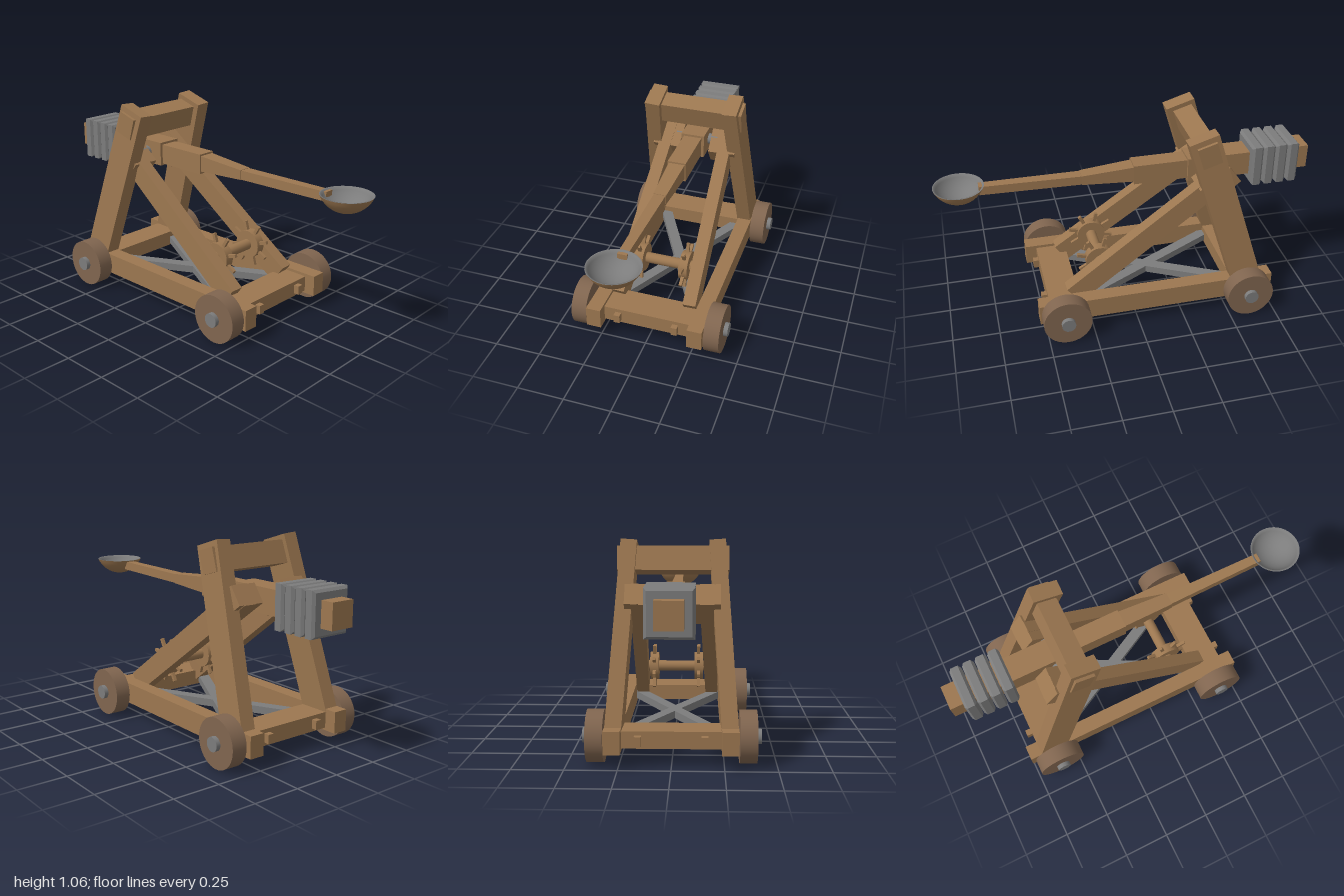
import * as THREE from 'three';

const V = (x, y, z) => new THREE.Vector3(x, y, z);
const mat = (color, extra = {}) => new THREE.MeshStandardMaterial({ color, ...extra });
const wood = mat(0x9c7750), wheelWood = mat(0x80654f), iron = mat(0x7c7c7c);

export function createModel() {
  const root = new THREE.Group();

  const add = (name, geo, material, x = 0, y = 0, z = 0) => {
    const m = new THREE.Mesh(geo, material);
    m.name = name;
    m.position.set(x, y, z);
    root.add(m);
    return m;
  };
  // Box given by its min and max corners
  const block = (name, material, x0, x1, y0, y1, z0, z1) =>
    add(name, new THREE.BoxGeometry(x1 - x0, y1 - y0, z1 - z0), material,
      (x0 + x1) / 2, (y0 + y1) / 2, (z0 + z1) / 2);
  // Straight beam from a to b; width runs along x, depth across it
  const beam = (name, material, a, b, width, depth) => {
    const m = add(name, new THREE.BoxGeometry(width, a.distanceTo(b), depth), material);
    const dir = b.clone().sub(a).normalize();
    const zAxis = V(1, 0, 0).cross(dir).normalize();
    const xAxis = dir.clone().cross(zAxis);
    m.quaternion.setFromRotationMatrix(new THREE.Matrix4().makeBasis(xAxis, dir, zAxis));
    m.position.copy(a).add(b).multiplyScalar(0.5);
    return m;
  };
  // Cylinder lying along x
  const rod = (name, material, r, x0, x1, y, z, seg = 32) =>
    add(name, new THREE.CylinderGeometry(r, r, x1 - x0, seg).rotateZ(Math.PI / 2),
      material, (x0 + x1) / 2, y, z);
  // Box along z whose front end has its own half width and heights
  const taper = (name, z0, w0, b0, t0, z1, w1, b1, t1) => {
    const g = new THREE.BoxGeometry(1, 1, 1), p = g.attributes.position;
    for (let i = 0; i < p.count; i++) {
      const front = p.getZ(i) > 0, up = p.getY(i) > 0;
      p.setXYZ(i, 2 * p.getX(i) * (front ? w1 : w0),
        up ? (front ? t1 : t0) : (front ? b1 : b0), front ? z1 : z0);
    }
    g.computeVertexNormals();
    return add(name, g, wood);
  };

  // Base frame cross beams with tenon ends
  block('frontCrossBeam', wood, -0.24, 0.24, 0.088, 0.172, 0.31, 0.475);
  block('rearCrossBeam', wood, -0.24, 0.24, 0.088, 0.172, -0.69, -0.53);

  for (const s of [-1, 1]) {
    const side = s > 0 ? 'left' : 'right';
    add(side + 'Rail', new THREE.BoxGeometry(0.08, 0.113, 1.29), wood, s * 0.277, 0.131, -0.11);
    for (const z of [0.485, -0.7])
      add(side + 'Tenon', new THREE.BoxGeometry(0.033, 0.047, 0.04), wood, s * 0.158, 0.129, z);

    // Wheels and axle stubs
    for (const z of [0.4, -0.605]) {
      rod(side + 'Wheel', wheelWood, 0.128, s * 0.3635 - 0.0415, s * 0.3635 + 0.0415, 0.128, z, 40);
      rod(side + 'Axle', iron, 0.037, s * 0.354 - 0.074, s * 0.354 + 0.074, 0.129, z, 20);
    }

    // Leaning upright and diagonal brace
    beam(side + 'Upright', wood, V(s * 0.277, 0.14, -0.62), V(s * 0.215, 1.033, -0.343), 0.08, 0.16);
    const foot = V(s * 0.2, 0.165, 0.34), head = V(s * 0.165, 0.8, -0.528);
    beam(side + 'Brace', wood, foot, head, 0.07, 0.115);

    // Pivot block on the brace head, reaching in to the arm
    const pad = beam(side + 'PivotBlock', wood, foot.clone().lerp(head, 0.82), head, 0.15, 0.11);
    pad.position.x = s * 0.158;

    // Windlass drum with radial handles
    rod(side + 'Drum', wood, 0.077, s * 0.124 - 0.024, s * 0.124 + 0.024, 0.316, 0.175, 24);
    for (let i = 0; i < 8; i++) {
      const a = (29 + 45 * i) * Math.PI / 180;
      const at = r => V(s * 0.124, 0.316 + r * Math.sin(a), 0.175 - r * Math.cos(a));
      beam(side + 'DrumHandle', wood, at(0.05), at(0.125), 0.017, 0.017);
    }

    // Diagonal iron strap under the frame
    const strap = add('crossStrap', new THREE.BoxGeometry(0.06, 0.04, 0.99), iron, 0, 0.12, -0.11);
    strap.rotation.y = s * Math.atan2(0.45, 0.86);
  }
  rod('windlassAxle', wood, 0.029, -0.17, 0.17, 0.316, 0.175, 20);
  rod('pivotPin', iron, 0.03, -0.12, 0.12, 0.76, -0.43, 20);

  // Top beam, tilted with the uprights
  add('topBeam', new THREE.BoxGeometry(0.546, 0.12, 0.105), wood, 0, 0.951, -0.373).rotation.x = 0.3;

  // Throwing arm, stepping down towards the bowl
  block('armButt', wood, -0.065, 0.065, 0.695, 0.825, -1, -0.325);
  block('armMiddle', wood, -0.05, 0.05, 0.705, 0.813, -0.34, -0.035);
  taper('armNeck', -0.04, 0.044, 0.718, 0.804, 0.24, 0.034, 0.73, 0.782);
  taper('armTip', 0.23, 0.031, 0.731, 0.78, 0.77, 0.024, 0.738, 0.786);

  // Counterweight slabs with chamfered edges
  const h = 0.1, c = 0.013;
  const square = new THREE.Shape([[-h, -h], [h, -h], [h, h], [-h, h]].map(p => new THREE.Vector2(...p)));
  const slab = new THREE.ExtrudeGeometry(square, {
    depth: 0.038, bevelEnabled: true, bevelThickness: 0.012, bevelSize: c, bevelSegments: 1,
  }).translate(0, 0, -0.019);
  for (let i = 0; i < 4; i++) add('counterweight', slab, iron, 0, 0.759, -0.698 - 0.067 * i);

  // Bowl: wooden shell with an iron lining
  const arc = (r, d) => Array.from({ length: 11 }, (_, i) => {
    const R = (r * r + d * d) / (2 * d), a = Math.asin(r / R) * i / 10;
    return new THREE.Vector2(R * Math.sin(a), R - d - R * Math.cos(a));
  });
  add('bowlShell', new THREE.LatheGeometry(arc(0.13, 0.088), 40), wood, 0, 0.792, 0.87);
  const lining = arc(0.122, 0.08).reverse();
  lining.unshift(new THREE.Vector2(0.13, 0));
  add('bowlLining', new THREE.LatheGeometry(lining, 40), iron, 0, 0.792, 0.87);

  return root;
}
